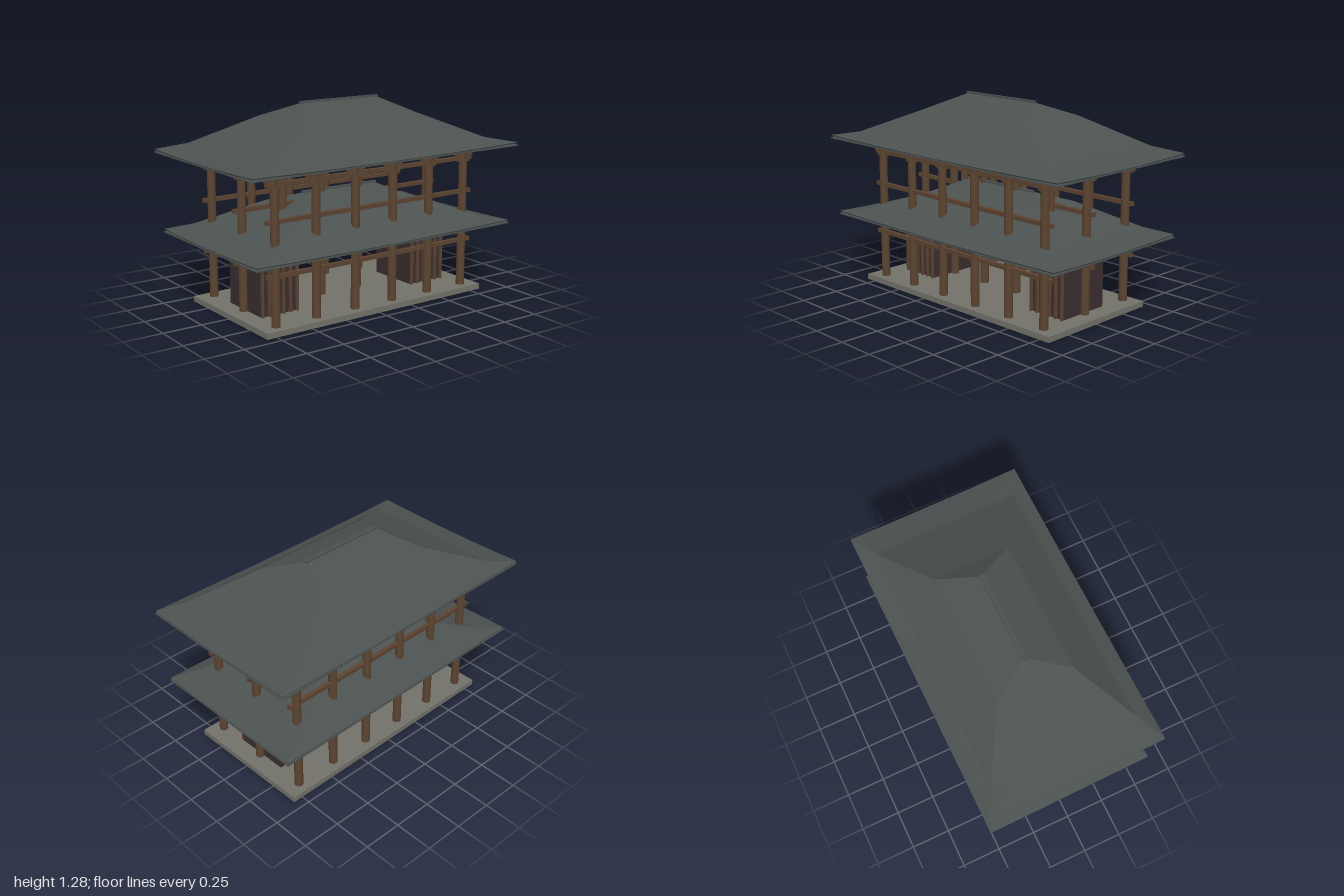
import * as THREE from 'three';

const mat = (name, color, side = THREE.FrontSide) => {
  const m = new THREE.MeshStandardMaterial({ color, side });
  m.name = name;
  return m;
};

// Hipped roof shell from rectangular rings [halfX, halfZ, y, cornerLift], eave to ridge
function hippedRoof(rings, segs = 8) {
  const corners = [[-1, 1], [1, 1], [1, -1], [-1, -1]];
  const point = ([hx, hz, y, lift], i) => {
    const side = Math.floor(i / segs) % 4;
    const t = (i % segs) / segs;
    const a = corners[side], b = corners[(side + 1) % 4];
    const bend = (2 * t - 1) ** 2;
    return [hx * (a[0] + (b[0] - a[0]) * t), y + lift * bend, hz * (a[1] + (b[1] - a[1]) * t)];
  };
  const pos = [];
  for (let r = 0; r < rings.length - 1; r++) {
    for (let i = 0; i < segs * 4; i++) {
      const a = point(rings[r], i), b = point(rings[r], i + 1);
      const c = point(rings[r + 1], i + 1), d = point(rings[r + 1], i);
      pos.push(...a, ...b, ...c, ...a, ...c, ...d);
    }
  }
  const g = new THREE.BufferGeometry();
  g.setAttribute('position', new THREE.Float32BufferAttribute(pos, 3));
  g.computeVertexNormals();
  return g;
}

export function createModel() {
  const wood = mat('brown wood', 0x5c4430);
  const wall = mat('dark wall', 0x3a2e30);
  const stone = mat('grey stone', 0x73726a);
  const tile = mat('grey roof tile', 0x4b5250, THREE.DoubleSide);

  const root = new THREE.Group();
  root.name = 'gate';
  const gate = new THREE.Group();
  gate.name = 'gateBody';
  gate.rotation.y = 0.0125;
  root.add(gate);

  const add = (name, geo, material, x = 0, y = 0, z = 0, parent = gate) => {
    const m = new THREE.Mesh(geo, material);
    m.name = name;
    m.position.set(x, y, z);
    parent.add(m);
    return m;
  };
  const box = (name, w, h, d, material, x, y, z, parent) =>
    add(name, new THREE.BoxGeometry(w, h, d), material, x, y, z, parent);

  // Stone platform
  box('platform', 1.64, 0.036, 0.865, stone, 0, 0.018, 0);

  // Columns, each topped with crossed stepped bracket arms
  const columnGeo = new THREE.CylinderGeometry(0.026, 0.027, 0.915, 14);
  const rows = [-0.36, 0, 0.36];
  const zArms = [[0.942, 0.093], [0.92, 0.073], [0.901, 0.058], [0.882, 0.045], [0.864, 0.029]];
  const xArms = [[0.927, 0.077], [0.9, 0.062], [0.864, 0.045]];
  for (const z of rows) {
    for (let i = 0; i < 6; i++) {
      const x = (i - 2.5) * 0.286;
      add('column', columnGeo, wood, x, 0.4925, z);
      const bracket = new THREE.Group();
      bracket.name = 'bracket';
      bracket.position.set(x, 0, z);
      gate.add(bracket);
      for (const [y, half] of zArms) box('depthArm', 0.026, 0.021, half * 2, wood, 0, y, 0, bracket);
      for (const [y, half] of xArms) box('sideArm', half * 2, 0.024, 0.026, wood, 0, y, 0, bracket);
    }
    // Tie beams through each row
    for (const y of [0.338, 0.43, 0.66, 0.876]) box('tieBeam', 1.55, 0.025, 0.026, wood, 0, y, z);
  }

  // Guardian rooms with slatted fronts
  for (const s of [-1, 1]) {
    box('room', 0.26, 0.384, 0.355, wall, s * 0.572, 0.228, -0.002);
    for (let i = 0; i < 6; i++) {
      box('slat', 0.012, 0.384, 0.02, wood, s * 0.572 + (i - 2.5) * 0.0495, 0.228, 0.184);
    }
  }

  // Roofs: flat eave board, curved tiled shell and ridge cap
  const lowerRoof = [
    [0.948, 0.541, 0.452, 0.01], [0.952, 0.545, 0.46, 0.01], [0.78, 0.452, 0.502, 0],
    [0.413, 0.235, 0.638, 0], [0.275, 0.004, 0.712, 0]];
  const upperRoof = [
    [0.985, 0.563, 0.957, 0.011], [0.989, 0.567, 0.965, 0.011], [0.808, 0.47, 1.01, 0],
    [0.428, 0.245, 1.175, 0], [0.284, 0.004, 1.266, 0]];
  const roofs = [['lower', lowerRoof, 0.451], ['upper', upperRoof, 0.957]];
  for (const [level, rings, eaveY] of roofs) {
    const [hx, hz] = rings[1];
    const [ridgeX, , ridgeY] = rings[4];
    box(level + 'EaveBoard', hx * 2 + 0.006, 0.008, hz * 2 + 0.004, tile, 0, eaveY, 0);
    add(level + 'Roof', hippedRoof(rings), tile);
    box(level + 'RidgeCap', ridgeX * 2 + 0.022, 0.016, 0.02, tile, 0, ridgeY + 0.002, 0);
  }
  return root;
}
